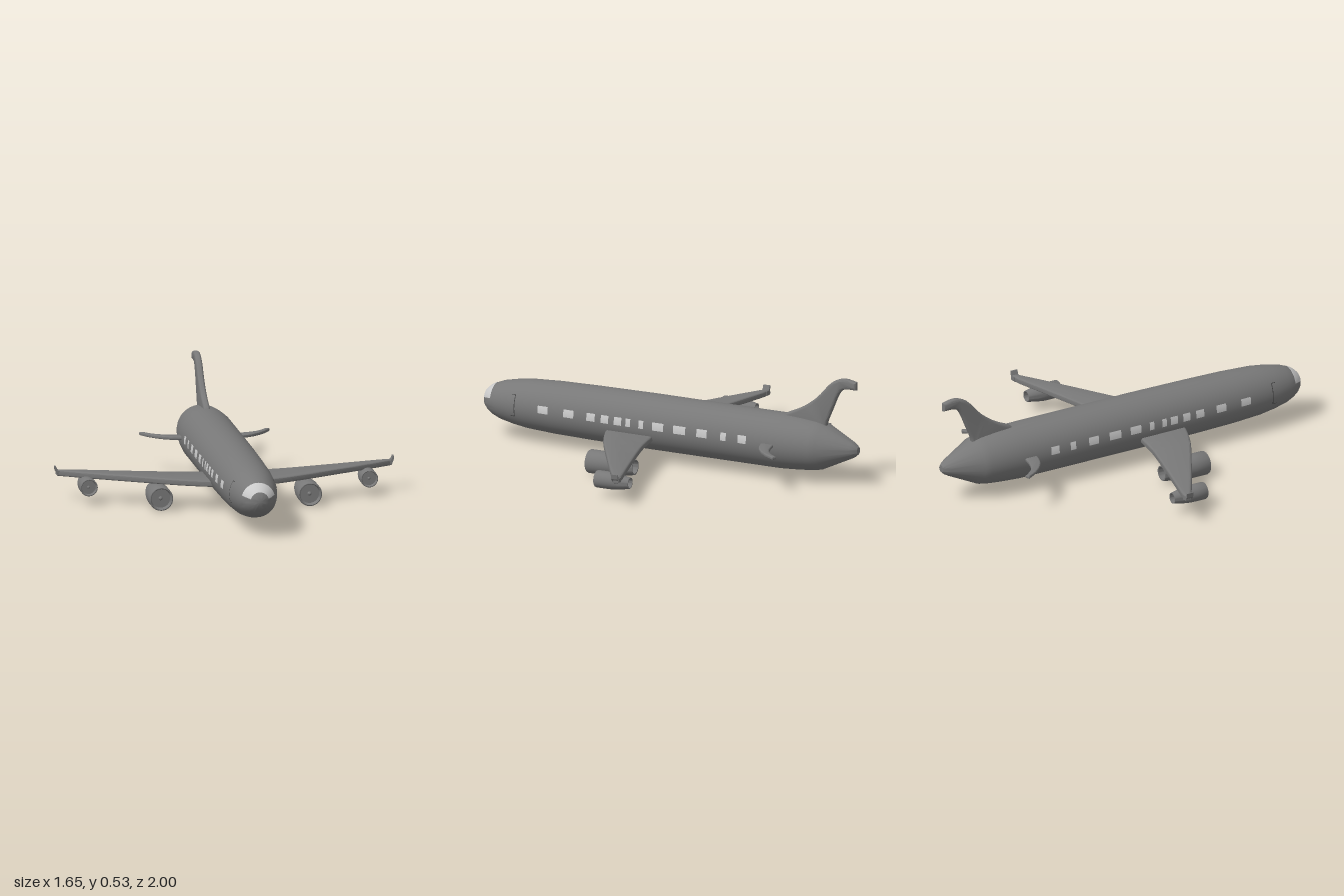
import * as THREE from 'three';
import { toCreasedNormals } from 'three/addons/utils/BufferGeometryUtils.js';

const paint = new THREE.MeshStandardMaterial({ color: 0x787878 });
const pale = new THREE.MeshStandardMaterial({ color: 0xcccccc });
const dark = new THREE.MeshStandardMaterial({ color: 0x444444 });
const AXIS_Y = 0.183;

// Fuselage radius along its length: [z, radius]
const BODY = [
  [-1, 0], [-0.998, 0.018], [-0.985, 0.03], [-0.965, 0.042], [-0.815, 0.114], [-0.78, 0.121], [-0.7, 0.129],
  [-0.6, 0.135], [0.1, 0.135], [0.4, 0.132], [0.6, 0.128], [0.75, 0.12], [0.83, 0.109], [0.9, 0.094],
  [0.94, 0.078], [0.965, 0.063], [0.985, 0.043], [0.995, 0.024], [1, 0],
];

function radiusAt(z) {
  const i = Math.max(1, BODY.findIndex((p) => p[0] >= z));
  const [z0, r0] = BODY[i - 1], [z1, r1] = BODY[i];
  return r0 + (r1 - r0) * (z - z0) / (z1 - z0);
}

function add(parent, name, geometry, material = paint) {
  const mesh = new THREE.Mesh(geometry, material);
  mesh.name = name;
  parent.add(mesh);
  return mesh;
}

// Lathe around the z axis from [z, radius] pairs; angle 0 points down, PI/2 to +x, PI up
function latheZ(points, segments, start = 0, length = Math.PI * 2) {
  const profile = points.map(([z, r]) => new THREE.Vector2(r, z));
  return new THREE.LatheGeometry(profile, segments, start, length).rotateX(Math.PI / 2);
}

// Thin panel lying just above the fuselage skin
function skinPatch(z0, z1, angle0, angle1) {
  const inner = BODY.filter(([z]) => z > z0 && z < z1);
  const points = [[z0, radiusAt(z0)], ...inner, [z1, radiusAt(z1)]].map(([z, r]) => [z, r + 0.002]);
  return latheZ(points, 12, angle0, angle1 - angle0).translate(0, AXIS_Y, 0);
}

// Rounded slab from two curved edges joined end to end, centred on its thickness
function slab(edgeA, edgeB, thickness, bevel) {
  const curve = (pts) => new THREE.SplineCurve(pts.map(([a, b]) => new THREE.Vector2(a, b))).getPoints(24);
  const shape = new THREE.Shape([...curve(edgeA), ...curve(edgeB).reverse()]);
  const geometry = new THREE.ExtrudeGeometry(shape, {
    depth: thickness - 2 * bevel, bevelEnabled: true, bevelSize: bevel,
    bevelThickness: bevel, bevelOffset: -bevel, bevelSegments: 3,
  });
  geometry.translate(0, 0, bevel - thickness / 2);
  return toCreasedNormals(geometry, 0.7);
}

// Horizontal slab on one side; edges are given as [x, z]
function flatSlab(side, leading, trailing, thickness, bevel, y) {
  const flip = (pts) => pts.map(([x, z]) => [side * x, -z]);
  return slab(flip(leading), flip(trailing), thickness, bevel).rotateX(-Math.PI / 2).translate(0, y, 0);
}

// Nacelle with shallow fan face, small spinner and hollow exhaust
function engineGeometry() {
  const profile = [
    [-0.18, 0], [-0.18, 0.029], [-0.245, 0.031], [-0.245, 0.037], [-0.18, 0.05], [-0.12, 0.057], [-0.08, 0.058],
    [-0.008, 0.058], [-0.001, 0.055], [0, 0.052], [-0.006, 0.048], [-0.025, 0.046], [-0.025, 0.01], [-0.016, 0.007], [-0.012, 0],
  ];
  return toCreasedNormals(latheZ(profile, 32), 0.5);
}

export function createModel() {
  const plane = new THREE.Group();
  plane.name = 'airliner';

  add(plane, 'fuselage', toCreasedNormals(latheZ(BODY, 48), 0.6).translate(0, AXIS_Y, 0));
  add(plane, 'cockpitWindow', skinPatch(0.935, 0.985, Math.PI - 1.3, Math.PI + 1.3), pale);

  // Tail fin, drawn in the z-y plane as [-z, y]
  const fin = slab(
    [[0.6, 0.26], [0.605, 0.316], [0.7, 0.365], [0.78, 0.425], [0.85, 0.502], [0.9, 0.53], [0.94, 0.535], [0.99, 0.525]],
    [[0.84, 0.25], [0.832, 0.295], [0.865, 0.38], [0.895, 0.45], [0.925, 0.482], [0.99, 0.485]],
    0.032, 0.012);
  add(plane, 'tailFin', fin.rotateY(Math.PI / 2));

  // Cabin windows: [centre z, width]
  const windows = [
    [0.63, 0.055], [0.49, 0.055], [0.37, 0.045], [0.295, 0.04], [0.225, 0.04], [0.17, 0.025],
    [0.1, 0.025], [0.01, 0.06], [-0.105, 0.065], [-0.225, 0.055], [-0.34, 0.03], [-0.44, 0.045],
  ];

  for (const side of [1, -1]) {
    const half = new THREE.Group();
    half.name = side > 0 ? 'leftSide' : 'rightSide';
    plane.add(half);

    // Panel between two angles measured upward from the horizontal
    const panel = (name, z0, z1, low, high, material) => {
      const a = side > 0 ? Math.PI / 2 + low : Math.PI * 1.5 - high;
      add(half, name, skinPatch(z0, z1, a, a + high - low), material);
    };
    for (const [z, w] of windows) panel('cabinWindow', z - w / 2, z + w / 2, -0.01, 0.28, pale);

    // Door outline
    panel('doorRearEdge', 0.786, 0.79, -0.35, 0.6, dark);
    panel('doorTopEdge', 0.79, 0.81, 0.58, 0.61, dark);
    panel('doorBottomEdge', 0.79, 0.81, -0.36, -0.33, dark);

    add(half, 'wing', flatSlab(side,
      [[0.07, 0.305], [0.135, 0.29], [0.22, 0.257], [0.3, 0.218], [0.41, 0.155], [0.61, 0.037], [0.72, -0.03], [0.815, -0.09]],
      [[0.07, 0.05], [0.135, 0.042], [0.25, 0.025], [0.35, 0.002], [0.5, -0.038], [0.65, -0.08], [0.75, -0.108], [0.815, -0.12]],
      0.03, 0.011, 0.133));

    // Upturned wing tip
    const winglet = new THREE.Shape([[0.785, 0.122], [0.808, 0.126], [0.82, 0.143], [0.823, 0.166], [0.817, 0.166], [0.808, 0.145], [0.785, 0.144]]
      .map(([x, y]) => new THREE.Vector2(side * x, y)));
    add(half, 'winglet', new THREE.ExtrudeGeometry(winglet, { depth: 0.035, bevelEnabled: false }).translate(0, 0, -0.117));

    add(half, 'tailplane', flatSlab(side,
      [[0.08, -0.535], [0.135, -0.541], [0.2, -0.563], [0.25, -0.6], [0.288, -0.645], [0.317, -0.695]],
      [[0.08, -0.605], [0.135, -0.608], [0.2, -0.622], [0.245, -0.644], [0.274, -0.674], [0.297, -0.705]],
      0.016, 0.006, 0.189));

    const inner = add(half, 'innerEngine', engineGeometry());
    inner.position.set(side * 0.361, 0.061, 0.262);
    const outer = add(half, 'outerEngine', engineGeometry());
    outer.scale.setScalar(0.73);
    outer.position.set(side * 0.68, 0.087, 0.064);
  }
  return plane;
}
